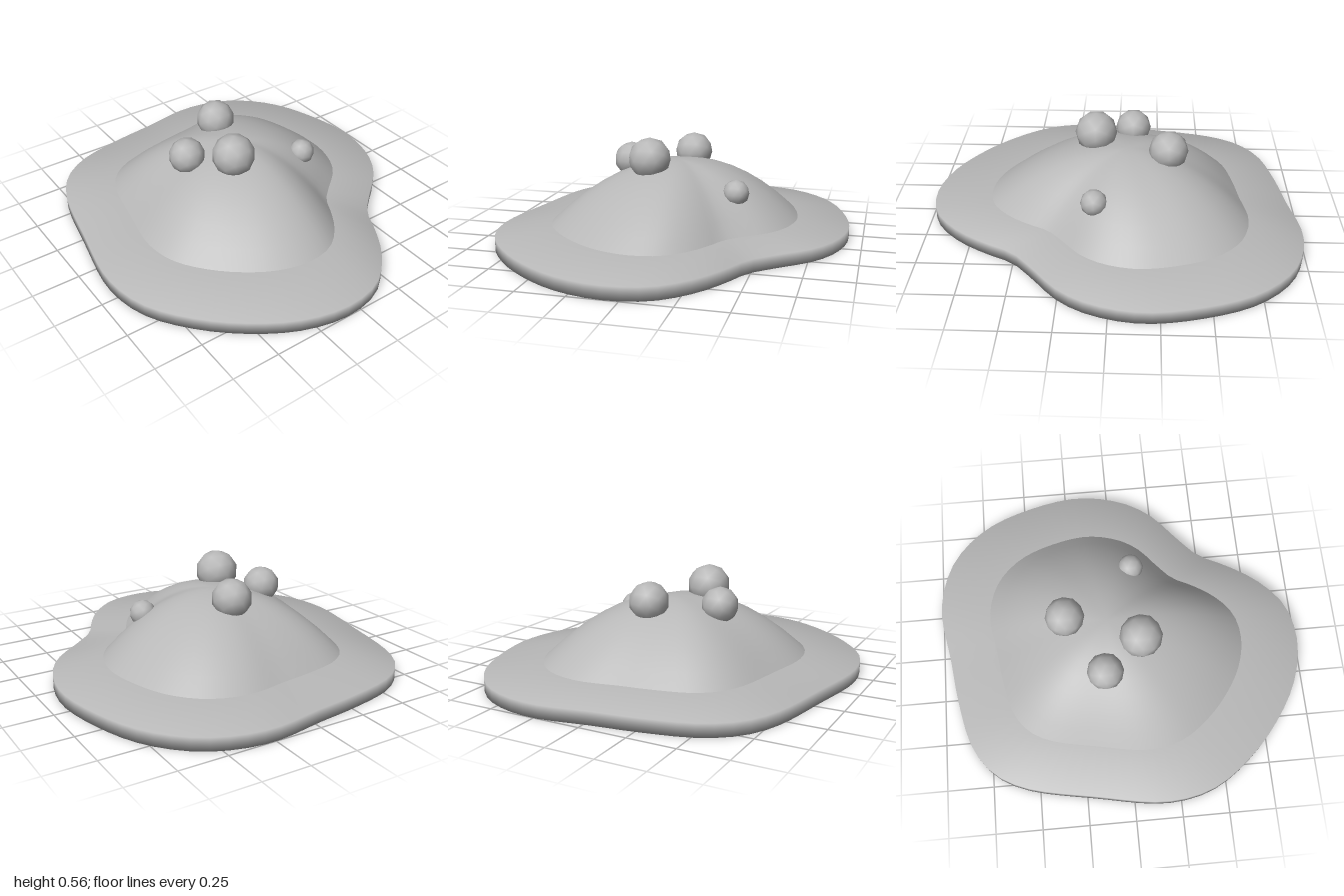
import * as THREE from 'three';

const CENTRE = new THREE.Vector3(-0.07, 0, 0);

// Wavy edge of the puddle as [x, z], running counter-clockwise seen from above
const EDGE = [
  [1.0, 0.08], [0.96, -0.13], [0.83, -0.29], [0.67, -0.4], [0.5, -0.49],
  [0.38, -0.62], [0.25, -0.77], [0.09, -0.87], [-0.16, -0.925], [-0.45, -0.88],
  [-0.72, -0.77], [-0.9, -0.6], [-0.98, -0.42], [-1.0, -0.24], [-0.955, 0.03],
  [-0.92, 0.27], [-0.85, 0.54], [-0.74, 0.69], [-0.58, 0.78], [-0.21, 0.86],
  [0.18, 0.92], [0.43, 0.87], [0.65, 0.72], [0.83, 0.52], [0.95, 0.31],
];
const SEGMENTS = 72;
const outline = new THREE.CatmullRomCurve3(
  EDGE.map(([x, z]) => new THREE.Vector3(x, 0, z)), true,
).getSpacedPoints(SEGMENTS).slice(0, SEGMENTS);

// Skin over scaled copies of the outline; each ring is [scale, height], scale 0 is a single point
function ringSurface(rings) {
  const positions = [];
  const index = [];
  const starts = rings.map(([scale, y]) => {
    const start = positions.length / 3;
    if (scale === 0) positions.push(CENTRE.x, y, CENTRE.z);
    else {
      for (const p of outline) {
        positions.push(CENTRE.x + (p.x - CENTRE.x) * scale, y, CENTRE.z + (p.z - CENTRE.z) * scale);
      }
    }
    return start;
  });
  for (let r = 0; r < rings.length - 1; r++) {
    const at = (ring, i) => starts[ring] + (rings[ring][0] === 0 ? 0 : i % SEGMENTS);
    for (let i = 0; i < SEGMENTS; i++) {
      const a = at(r, i), b = at(r, i + 1), c = at(r + 1, i + 1), d = at(r + 1, i);
      if (a !== b) index.push(a, b, c);
      if (c !== d) index.push(a, c, d);
    }
  }
  const geometry = new THREE.BufferGeometry();
  geometry.setAttribute('position', new THREE.Float32BufferAttribute(positions, 3));
  geometry.setIndex(index);
  geometry.computeVertexNormals();
  return geometry;
}

export function createModel() {
  const model = new THREE.Group();
  const grey = new THREE.MeshStandardMaterial({ color: 0xb8b8b8 });
  grey.name = 'slime grey';

  const add = (name, geometry) => {
    const mesh = new THREE.Mesh(geometry, grey);
    mesh.name = name;
    model.add(mesh);
    return mesh;
  };

  // Flat underside, short wall and gently sloping rim
  add('puddleRim', ringSurface([[0, 0], [1, 0], [1, 0.068], [0.7, 0.105]]));

  // Rounded mound rising from the rim
  const mound = [];
  for (let k = 0; k <= 8; k++) {
    const t = 1 - k / 8;
    mound.push([0.7 * t, 0.105 + 0.315 * (1 - t ** 2.05)]);
  }
  add('mound', ringSurface(mound));

  // Bubbles half sunk in the mound: x, y, z, radius
  const bubbles = [
    [-0.29, 0.425, -0.035, 0.105],
    [0.1, 0.45, 0.115, 0.114],
    [-0.1, 0.4, 0.275, 0.097],
    [0.09, 0.29, -0.35, 0.07],
  ];
  bubbles.forEach(([x, y, z, radius], i) => {
    add(`bubble${i + 1}`, new THREE.IcosahedronGeometry(radius, 1)).position.set(x, y, z);
  });

  return model;
}
